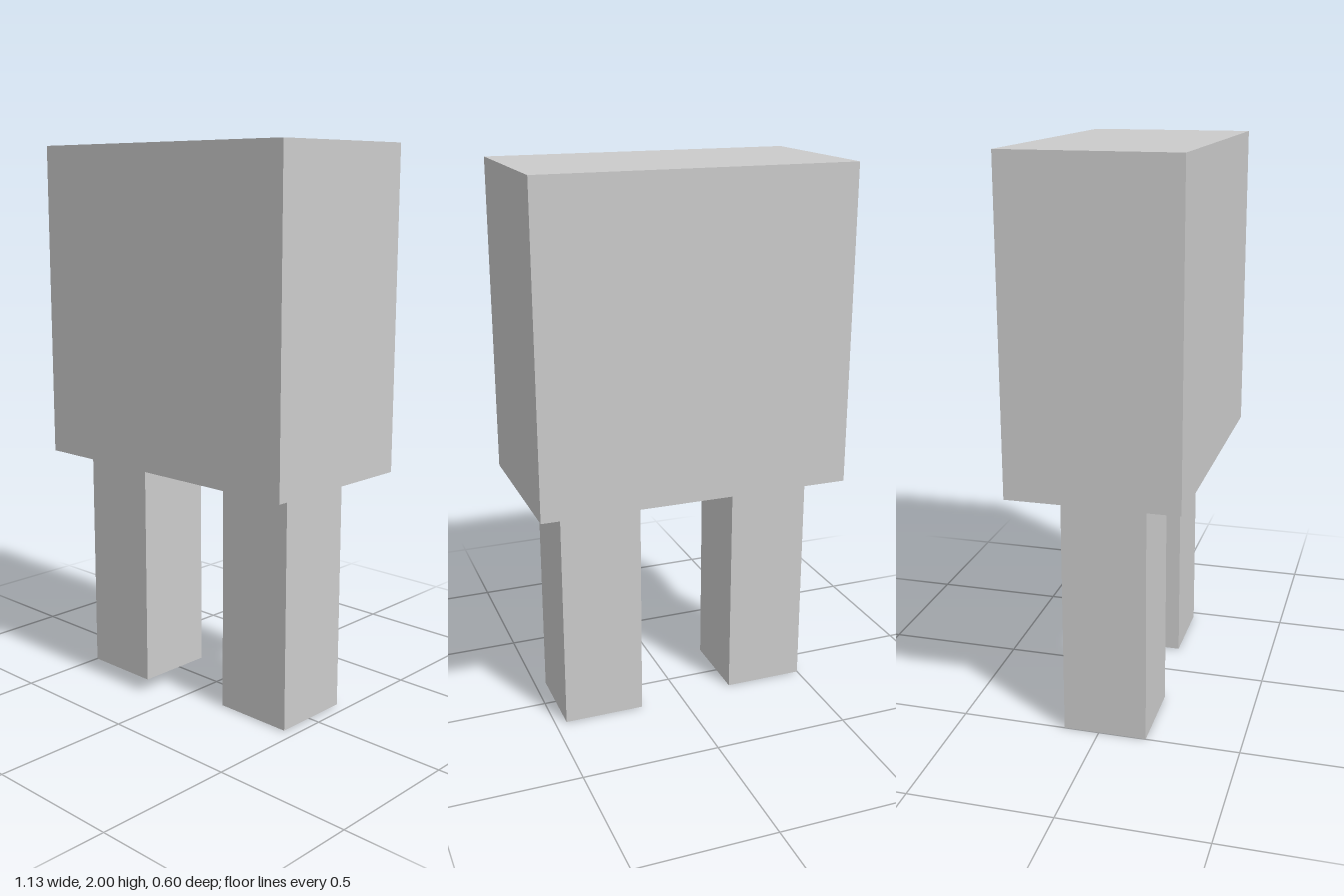
import * as THREE from 'three';

const material = new THREE.MeshStandardMaterial({ color: 0xcccccc, flatShading: true });

// Box given by its size and the centre of its bottom face
function block(name, [w, h, d], [x, y, z]) {
  const mesh = new THREE.Mesh(new THREE.BoxGeometry(w, h, d), material);
  mesh.name = name;
  mesh.position.set(x, y + h / 2, z);
  return mesh;
}

export function createModel() {
  const model = new THREE.Group();
  model.name = 'blockFigure';

  // Large upper body
  model.add(block('body', [1.13, 1.132, 0.602], [0, 0.868, 0]));

  // Two square legs, set slightly unevenly under the body
  const legSize = [0.295, 0.865, 0.295];
  model.add(block('rightLeg', legSize, [-0.352, 0, 0.022]));
  model.add(block('leftLeg', legSize, [0.312, 0.003, -0.008]));

  return model;
}
